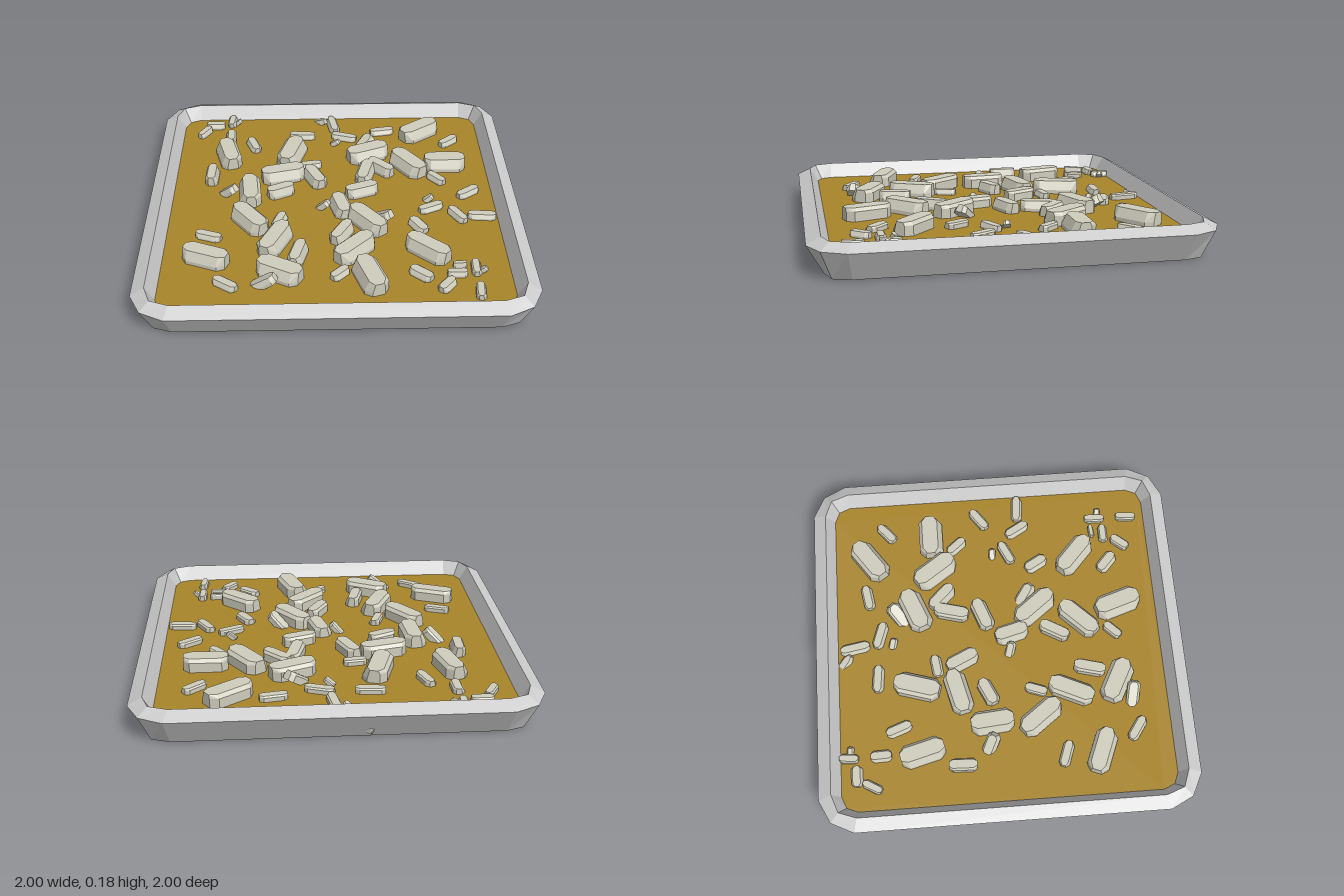
import * as THREE from 'three';
import { ConvexGeometry } from 'three/addons/geometries/ConvexGeometry.js';

const rad = THREE.MathUtils.degToRad;
const FLOOR = 0.1;

// Rounded-square outline: h = half width, m = corner midpoint, s = end of straight side
function outline([h, m, s]) {
  const pts = [];
  for (let q = 0; q < 4; q++) {
    for (const [x, z] of [[h, s], [m, m], [s, h]]) {
      const p = new THREE.Vector2(x, z).rotateAround(new THREE.Vector2(), q * Math.PI / 2);
      pts.push(p);
    }
  }
  return pts;
}

// Flat plate filling an outline, facing up or down
function plate(ring, up) {
  const g = new THREE.ShapeGeometry(new THREE.Shape(outline(ring)));
  g.rotateX(up ? -Math.PI / 2 : Math.PI / 2);
  g.translate(0, ring[3], 0);
  return g;
}

// Faceted band joining successive outlines
function band(rings) {
  const pos = [];
  const loops = rings.map(r => outline(r).map(p => [p.x, r[3], p.y]));
  for (let i = 0; i < loops.length - 1; i++) {
    const n = loops[i].length;
    for (let j = 0; j < n; j++) {
      const k = (j + 1) % n;
      const a = loops[i][j], b = loops[i][k], c = loops[i + 1][j], d = loops[i + 1][k];
      pos.push(...a, ...c, ...b, ...b, ...c, ...d);
    }
  }
  const g = new THREE.BufferGeometry();
  g.setAttribute('position', new THREE.Float32BufferAttribute(pos, 3));
  g.computeVertexNormals();
  return g;
}

// Unit crystal: long axis x, tapered ends, chamfered back edge, sloping front side
function crystalGeometry() {
  const section = [[-0.5, -0.2], [-0.5, 0.75], [-0.36, 1], [0.3, 1], [0.5, 0.3], [0.5, -0.2]];
  const pts = [];
  for (const [x, k] of [[-0.5, 0.5], [-0.36, 1], [0.36, 1], [0.5, 0.5]]) {
    for (const [z, y] of section) pts.push(new THREE.Vector3(x, y, z * k));
  }
  return new ConvexGeometry(pts);
}

// x, z, length, width, heading in degrees
const large = [
  [-0.6, -0.45, 0.24, 0.12, 75], [-0.23, -0.46, 0.25, 0.13, -73], [-0.28, -0.24, 0.24, 0.12, -14],
  [-0.46, -0.07, 0.23, 0.12, 85], [-0.45, 0.19, 0.25, 0.12, 53], [-0.31, 0.37, 0.25, 0.12, -65],
  [-0.66, 0.5, 0.24, 0.12, 22], [-0.28, 0.62, 0.24, 0.13, 28], [0.1, 0.45, 0.25, 0.12, -45],
  [0.17, 0.67, 0.25, 0.13, 72], [0.18, 0.21, 0.25, 0.12, 52], [0.48, 0.46, 0.25, 0.12, 42],
  [0.44, -0.33, 0.25, 0.13, 55], [0.65, -0.34, 0.23, 0.13, 0], [0.53, -0.69, 0.25, 0.13, -35],
  [0.21, -0.45, 0.24, 0.13, -22],
];
const medium = [
  [0.19, -0.25, 0.19, 0.09, -75], [-0.1, -0.21, 0.18, 0.09, 65], [0.16, -0.08, 0.18, 0.09, -20],
  [0.04, 0.07, 0.18, 0.1, 75], [0.28, -0.3, 0.17, 0.08, 45], [0.04, 0.31, 0.17, 0.08, -60],
  [-0.19, 0.48, 0.17, 0.08, -75], [-0.29, -0.08, 0.15, 0.08, -25], [-0.68, -0.24, 0.15, 0.07, -88],
];
const small = [
  [-0.7, -0.8, 0.11, 0.06, 0], [-0.76, -0.72, 0.11, 0.05, -60], [-0.6, -0.84, 0.1, 0.05, -85],
  [-0.6, -0.67, 0.11, 0.06, 88], [-0.46, -0.57, 0.14, 0.06, 70], [-0.17, -0.67, 0.15, 0.06, 5],
  [0.08, -0.65, 0.15, 0.06, 18], [0.015, -0.79, 0.16, 0.06, 80], [0.31, -0.71, 0.14, 0.06, -10],
  [0.7, -0.59, 0.13, 0.06, -40], [0.59, -0.2, 0.12, 0.06, 50], [0.75, -0.06, 0.14, 0.06, -35],
  [0.53, 0.08, 0.14, 0.06, -25], [0.67, 0.15, 0.14, 0.06, 60], [0.8, 0.16, 0.15, 0.06, 5],
  [0.45, 0.24, 0.13, 0.07, 60], [-0.29, 0.18, 0.12, 0.06, -70], [-0.66, 0.31, 0.14, 0.06, 20],
  [-0.55, 0.7, 0.14, 0.06, 35], [-0.12, -0.35, 0.12, 0.06, -8], [0.02, 0.63, 0.11, 0.06, -45],
  [0.43, 0.64, 0.13, 0.07, 42], [0.55, 0.73, 0.11, 0.06, -50], [0.61, 0.64, 0.1, 0.05, 0],
  [0.63, 0.575, 0.07, 0.03, -5], [0.71, 0.6, 0.11, 0.05, -88], [0.71, 0.78, 0.11, 0.05, -85],
];
// Steeply tilted pieces: x, y, z, length, width, heading, pitch
const tilted = [
  [-0.57, 0.11, -0.08, 0.12, 0.07, 30, 40], [0.2, 0.11, -0.55, 0.14, 0.08, -40, 35],
  [0.27, 0.11, 0.17, 0.13, 0.07, 40, 35], [-0.35, 0.11, 0.7, 0.14, 0.07, 10, 35],
  [-0.05, 0.11, 0.06, 0.09, 0.05, 20, 45], [0.03, 0.11, -0.58, 0.06, 0.04, 20, 35],
  [0.53, 0.11, 0, 0.06, 0.04, 0, 40], [0.745, 0.11, 0.62, 0.05, 0.035, 10, 40],
  [-0.56, 0.11, -0.83, 0.05, 0.035, 10, 40], [-0.09, 0.07, -0.875, 0.2, 0.05, 45, 27],
];

export function createModel() {
  const model = new THREE.Group();
  const grey = new THREE.MeshStandardMaterial({ color: 0xcccccc, flatShading: true });
  const gold = new THREE.MeshStandardMaterial({ color: 0xa8852a, flatShading: true });
  const ivory = new THREE.MeshStandardMaterial({ color: 0xcfcdbd, flatShading: true });
  const add = (parent, name, geometry, material) => {
    const mesh = new THREE.Mesh(geometry, material);
    mesh.name = name;
    parent.add(mesh);
    return mesh;
  };

  // Tray: flared outer wall, bevelled rim, sloping inner wall
  const base = [0.92, 0.89, 0.8, 0];
  const floor = [0.885, 0.86, 0.8, FLOOR];
  const rings = [base, [1, 0.94, 0.82, 0.145], [0.93, 0.895, 0.8, 0.18], floor];
  const tray = new THREE.Group();
  tray.name = 'tray';
  model.add(tray);
  add(tray, 'trayWall', band(rings), grey);
  add(tray, 'trayBase', plate(base, false), grey);
  add(tray, 'trayFilling', plate(floor, true), gold);

  // Crystals scattered over the filling
  const geometry = crystalGeometry();
  const crystals = new THREE.Group();
  crystals.name = 'crystals';
  model.add(crystals);
  for (const [name, list, height] of [['largeCrystal', large, 0.07], ['mediumCrystal', medium, 0.055], ['smallCrystal', small, 0.03]]) {
    for (const [x, z, length, width, heading] of list) {
      const mesh = add(crystals, name, geometry, ivory);
      mesh.position.set(x, FLOOR, z);
      mesh.scale.set(length, height, width);
      mesh.rotation.y = -rad(heading);
    }
  }
  for (const [x, y, z, length, width, heading, pitch] of tilted) {
    const mesh = add(crystals, 'tiltedCrystal', geometry, ivory);
    mesh.position.set(x, y, z);
    mesh.scale.set(length, width * 0.5, width);
    mesh.rotation.set(0, -rad(heading), rad(pitch), 'YZX');
  }
  return model;
}
